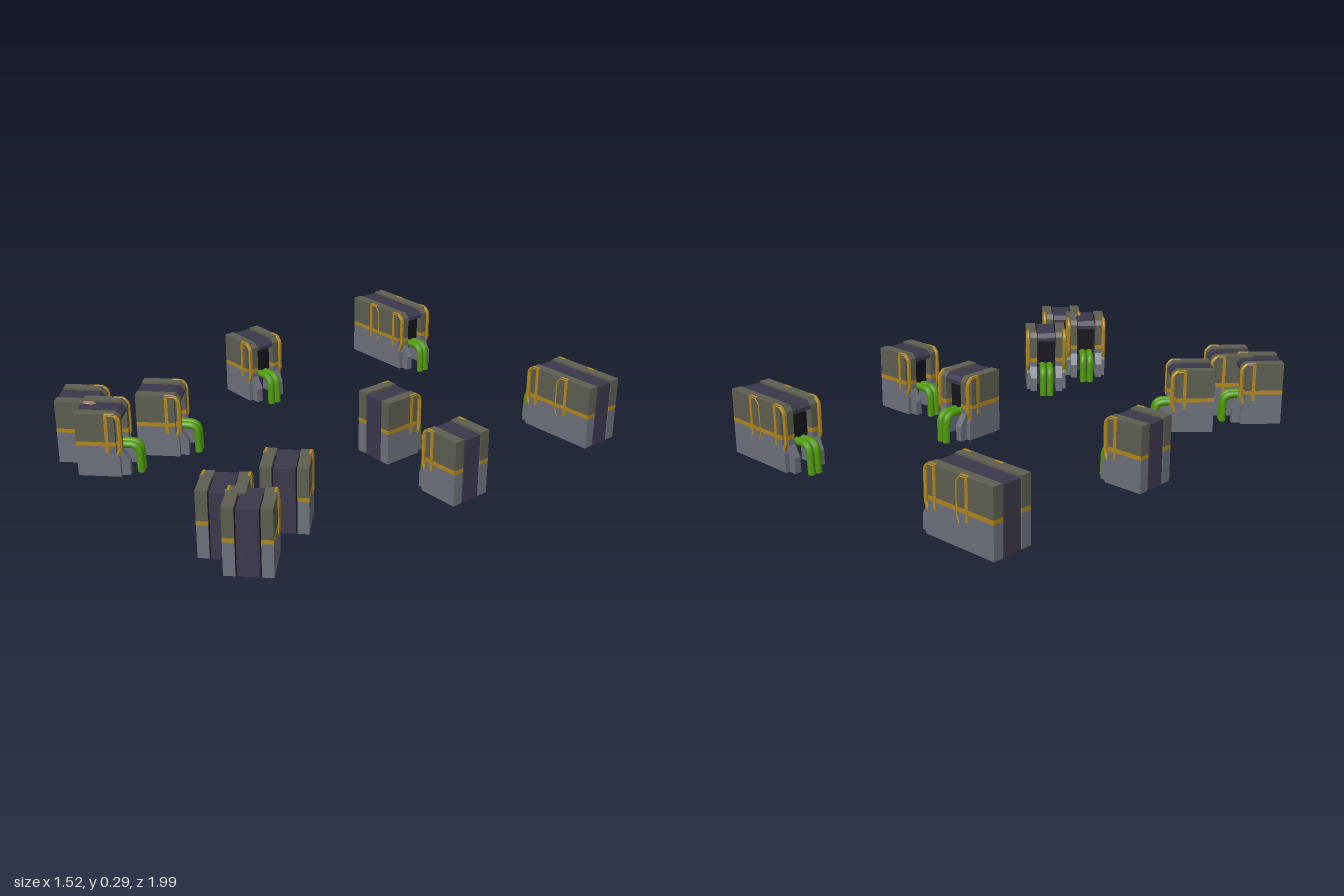
import * as THREE from 'three';

const mat = (color) => new THREE.MeshStandardMaterial({ color, flatShading: true });
const STEEL = mat(0x6c707a), OLIVE = mat(0x5d5e50), GOLD = mat(0xb0861c);
const CORE = mat(0x3b384b), BLACK = mat(0x15151b), PINK = mat(0xb05070);
const GREEN = new THREE.MeshStandardMaterial({ color: 0x4f9a0c });

// Side profile (length, height) extruded between two widths
function slab(name, pts, z0, z1, material) {
  const shape = new THREE.Shape(pts.map(([x, y]) => new THREE.Vector2(x, y)));
  const geo = new THREE.ExtrudeGeometry(shape, { depth: z1 - z0, bevelEnabled: false });
  geo.translate(0, 0, z0);
  const mesh = new THREE.Mesh(geo, material);
  mesh.name = name;
  return mesh;
}

function tube(name, pts, radius, sides, material) {
  const path = new THREE.CurvePath();
  const v = pts.map(([x, y, z]) => new THREE.Vector3(x, y, z));
  for (let i = 1; i < v.length; i++) path.add(new THREE.LineCurve3(v[i - 1], v[i]));
  const mesh = new THREE.Mesh(new THREE.TubeGeometry(path, 24, radius, sides, false), material);
  mesh.name = name;
  return mesh;
}

// Armour on one side; s = +1 or -1 picks the side
function addSide(unit, s) {
  const side = (name, pts, a, b, m) => unit.add(slab(name, pts, s > 0 ? a : -b, s > 0 ? b : -a, m));
  side('lowerPlate', [[0, 0.01], [0.18, 0.01], [0.18, 0.09], [0.165, 0.125], [0.165, 0.148], [0, 0.148]], 0.048, 0.093, STEEL);
  side('goldBand', [[0, 0.148], [0.165, 0.148], [0.165, 0.166], [0, 0.166]], 0.048, 0.0935, GOLD);
  side('upperPlate', [[0, 0.166], [0.165, 0.166], [0.165, 0.29], [0, 0.29]], 0.048, 0.093, OLIVE);
  side('lowerCheek', [[0.1, 0.01], [0.216, 0.01], [0.216, 0.075], [0.185, 0.125], [0.185, 0.148], [0.1, 0.148]], 0.045, 0.075, STEEL);
  side('cheekBand', [[0.12, 0.148], [0.186, 0.148], [0.186, 0.166], [0.12, 0.166]], 0.045, 0.075, GOLD);
  side('upperCheek', [[0.12, 0.166], [0.185, 0.166], [0.185, 0.268], [0.165, 0.288], [0.12, 0.288]], 0.045, 0.075, OLIVE);
  // Bent rod over the armour's front edge
  const z = s * 0.086;
  unit.add(tube('goldRod', [[0.125, 0.284, z], [0.165, 0.284, z], [0.183, 0.262, z], [0.183, 0.135, z], [0.17, 0.105, z]], 0.009, 6, GOLD));
  // Rod lying in the side of the armour
  const bar = new THREE.Mesh(new THREE.BoxGeometry(0.014, 0.17, 0.008), GOLD);
  bar.name = 'sideBar';
  bar.position.set(0.13, 0.204, s * 0.092);
  unit.add(bar);
}

// Pipe leaving the front and bending to the ground
function addPipe(unit, z) {
  const p = (x, y) => new THREE.Vector3(x, y, z);
  const path = new THREE.CurvePath();
  path.add(new THREE.LineCurve3(p(0.13, 0.124), p(0.205, 0.124)));
  path.add(new THREE.QuadraticBezierCurve3(p(0.205, 0.124), p(0.243, 0.124), p(0.245, 0.085)));
  path.add(new THREE.LineCurve3(p(0.245, 0.085), p(0.248, 0.001)));
  const pipe = new THREE.Mesh(new THREE.TubeGeometry(path, 24, 0.016, 10), GREEN);
  pipe.name = 'greenPipe';
  const end = new THREE.Mesh(new THREE.CylinderGeometry(0.015, 0.015, 0.006, 10), PINK);
  end.name = 'pipeEnd';
  end.position.set(0.248, 0.003, z);
  unit.add(pipe, end);
}

// One generator: back at x = 0, pipes towards +x
function makeUnit() {
  const unit = new THREE.Group();
  unit.name = 'generator';
  unit.add(slab('core', [[0, 0.01], [0.1, 0.01], [0.1, 0.095], [0.15, 0.125], [0.15, 0.235], [0.185, 0.25],
    [0.185, 0.265], [0.165, 0.284], [0, 0.284]], -0.042, 0.042, CORE));
  unit.add(slab('coreGroove', [[0.006, 0.012], [0.098, 0.012], [0.098, 0.1], [0.145, 0.13], [0.145, 0.277], [0.006, 0.277]], -0.049, 0.049, BLACK));
  const panel = new THREE.Mesh(new THREE.BoxGeometry(0.012, 0.1, 0.08), BLACK);
  panel.name = 'frontPanel';
  panel.position.set(0.152, 0.185, 0);
  unit.add(panel);
  for (const s of [-1, 1]) {
    addSide(unit, s);
    addPipe(unit, s * 0.0165);
  }
  return unit;
}

export function createModel() {
  const model = new THREE.Group();
  model.name = 'generators';
  const place = (x, z, angle) => {
    const unit = makeUnit();
    unit.position.set(x, 0, z);
    unit.rotation.y = angle;
    model.add(unit);
  };
  // Mirrored rows: distance from centre, depth, turn of the right-hand unit
  const rows = [
    [0.76, -0.905, 0], [0.597, -0.905, 0], [0.76, -0.1, 0],
    [0.497, 0.632, Math.PI / 4], [0.497, 0.924, Math.PI / 4], [0.657, 0.924, Math.PI / 4],
  ];
  for (const [x, z, a] of rows) {
    place(-x, z, a);
    place(x, z, Math.PI - a);
  }
  place(0.23, -0.055, Math.PI / 2);
  return model;
}
